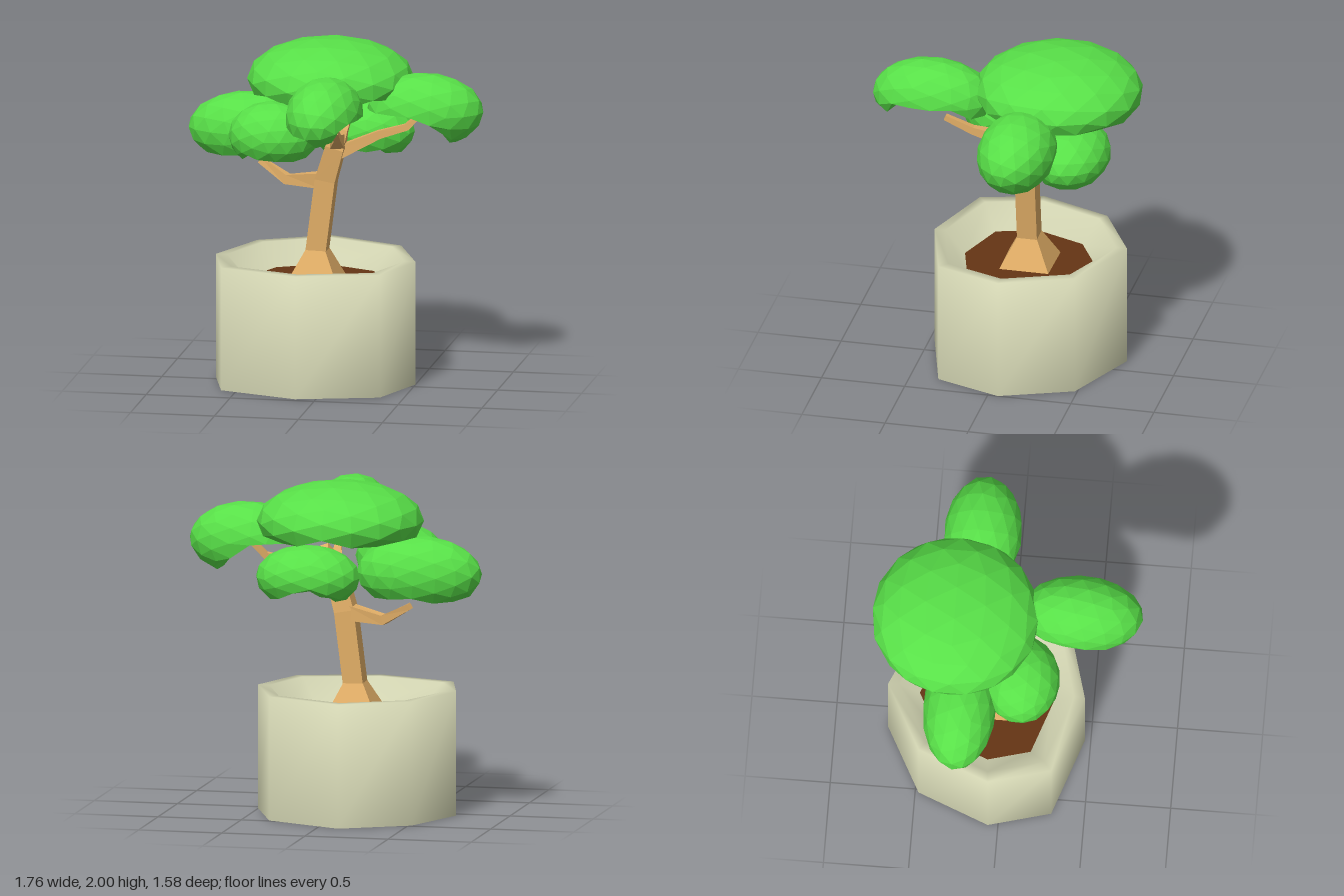
import * as THREE from 'three';
import { toCreasedNormals } from 'three/addons/utils/BufferGeometryUtils.js';

const V = (x, y, z) => new THREE.Vector3(x, y, z);
const potMat = new THREE.MeshStandardMaterial({ color: 0xd0d2b0, side: THREE.DoubleSide });
const soilMat = new THREE.MeshStandardMaterial({ color: 0x653514, flatShading: true });
const barkMat = new THREE.MeshStandardMaterial({ color: 0xe0ad66, flatShading: true });
const leafMat = new THREE.MeshStandardMaterial({ color: 0x58e048, flatShading: true });

// Skin between rings of equal length, capped at the end and, unless open, at the start
function loft(rings, openStart = false) {
  const pos = [];
  const tri = (...pts) => pts.forEach((p) => pos.push(p.x, p.y, p.z));
  const n = rings[0].length;
  for (let i = 0; i < rings.length - 1; i++) {
    for (let j = 0; j < n; j++) {
      const k = (j + 1) % n;
      const a = rings[i][j], b = rings[i][k], c = rings[i + 1][k], d = rings[i + 1][j];
      tri(a, b, c);
      tri(a, c, d);
    }
  }
  const first = rings[0], last = rings[rings.length - 1];
  for (let j = 1; j < n - 1; j++) {
    if (!openStart) tri(first[0], first[j + 1], first[j]);
    tri(last[0], last[j], last[j + 1]);
  }
  const g = new THREE.BufferGeometry();
  g.setAttribute('position', new THREE.Float32BufferAttribute(pos, 3));
  g.computeVertexNormals();
  return g;
}

// Square-section limb through nodes [x, y, z, half width]
function limb(nodes) {
  const pts = nodes.map(([x, y, z]) => V(x, y, z));
  const end = pts.length - 1;
  const whole = pts[end].clone().sub(pts[0]).normalize();
  const ref = Math.abs(whole.z) > 0.7 ? V(0, 1, 0) : V(0, 0, 1);
  return loft(pts.map((p, i) => {
    const dir = pts[Math.min(i + 1, end)].clone().sub(pts[Math.max(i - 1, 0)]).normalize();
    const u = dir.clone().cross(ref).normalize();
    const v = dir.clone().cross(u);
    const h = nodes[i][3];
    return [[1, 1], [-1, 1], [-1, -1], [1, -1]].map(([s, t]) =>
      p.clone().addScaledVector(u, s * h).addScaledVector(v, t * h));
  }));
}

// Faceted ellipsoid whose underside, below a ragged fold line, turns up into a hollow.
// The fold lies lower towards one heading (tilt) or at both ends of it (ends).
function foliage([rx, ry, rz], { fold, heading = 0, tilt = 0, ends = 0 }, spin) {
  const g = new THREE.IcosahedronGeometry(1, 2);
  g.rotateY(spin);
  const p = g.attributes.position;
  for (let i = 0; i < p.count; i++) {
    const x = p.getX(i), y = p.getY(i), z = p.getZ(i);
    const angle = Math.atan2(z, x);
    const c = Math.cos(angle - heading);
    const shift = tilt * c + ends * (2 * c * c - 1) + 0.1 * Math.sin(5 * angle + spin);
    const low = -Math.max(0.1, fold + shift * Math.hypot(x, z));
    p.setXYZ(i, x * rx, (y < low ? 2 * low - y : y) * ry, z * rz);
  }
  g.computeVertexNormals();
  return g;
}

export function createModel() {
  const model = new THREE.Group();
  const add = (name, geometry, material, parent = model) => {
    const mesh = new THREE.Mesh(geometry, material);
    mesh.name = name;
    parent.add(mesh);
    return mesh;
  };

  // Eight-sided pot, open underneath, softly shaded over the rim
  const outline = [[-0.69, -0.06], [-0.59, 0.305], [-0.12, 0.465], [0.36, 0.33],
    [0.5, -0.06], [0.335, -0.485], [-0.125, -0.69], [-0.52, -0.48]];
  const cx = -0.1, cz = -0.11;
  const potRing = ([y, s]) => outline.map(([x, z]) => V(cx + (x - cx) * s, y, cz + (z - cz) * s));
  const potGeo = loft([[0, 1], [0.735, 1], [0.735, 0.89], [0.59, 0.67]].map(potRing), true);
  add('pot', toCreasedNormals(potGeo, 1.7), potMat);
  add('soil', loft([[0.585, 0.66], [0.602, 0.68]].map(potRing)), soilMat);

  // Flared trunk
  const wood = new THREE.Group();
  wood.name = 'wood';
  model.add(wood);
  add('trunkFlare', limb([[-0.1, 0.59, -0.11, 0.155], [-0.095, 0.78, -0.11, 0.06]]), barkMat, wood);
  add('trunk', limb([[-0.095, 0.77, -0.11, 0.06], [-0.04, 1.2, -0.108, 0.06],
    [0.02, 1.4, -0.085, 0.055], [0.05, 1.5, -0.1, 0.04], [0.08, 1.58, -0.16, 0.025]]), barkMat, wood);

  // Branches
  const branches = {
    leftBranch: [[0.0, 1.35, -0.09, 0.04], [0.27, 1.475, -0.13, 0.024], [0.43, 1.52, -0.16, 0.02], [0.515, 1.61, -0.18, 0.017]],
    rightBranch: [[-0.05, 1.195, -0.11, 0.047], [-0.29, 1.17, -0.2, 0.028], [-0.46, 1.265, -0.26, 0.018]],
    frontBranch: [[0.03, 1.43, -0.08, 0.045], [0.08, 1.51, 0.19, 0.022], [0.1, 1.585, 0.35, 0.016]],
  };
  for (const [name, nodes] of Object.entries(branches)) add(name, limb(nodes), barkMat, wood);

  // Foliage: centre, radii and rim shape of each clump
  const leaves = new THREE.Group();
  leaves.name = 'foliage';
  model.add(leaves);
  const clumps = {
    topFoliage: [[-0.05, 1.765, -0.3], [0.49, 0.235, 0.495], { fold: 0.45 }],
    frontFoliage: [[0.05, 1.7, 0.435], [0.225, 0.22, 0.36], { fold: 0.35, heading: Math.PI / 2, ends: 0.35 }],
    leftFoliage: [[0.535, 1.62, -0.185], [0.345, 0.22, 0.23], { fold: 0.5, tilt: 0.65, ends: 0.3 }],
    rightFoliage: [[-0.51, 1.46, -0.24], [0.375, 0.22, 0.215], { fold: 0.72 }],
    rightFrontFoliage: [[-0.315, 1.5, 0.11], [0.265, 0.2, 0.225], { fold: 0.68 }],
    backFoliage: [[0.12, 1.44, -0.41], [0.31, 0.19, 0.235], { fold: 0.65, ends: 0.25 }],
  };
  Object.entries(clumps).forEach(([name, [centre, radii, rim]], i) => {
    add(name, foliage(radii, rim, i * 1.3), leafMat, leaves).position.set(...centre);
  });
  return model;
}
